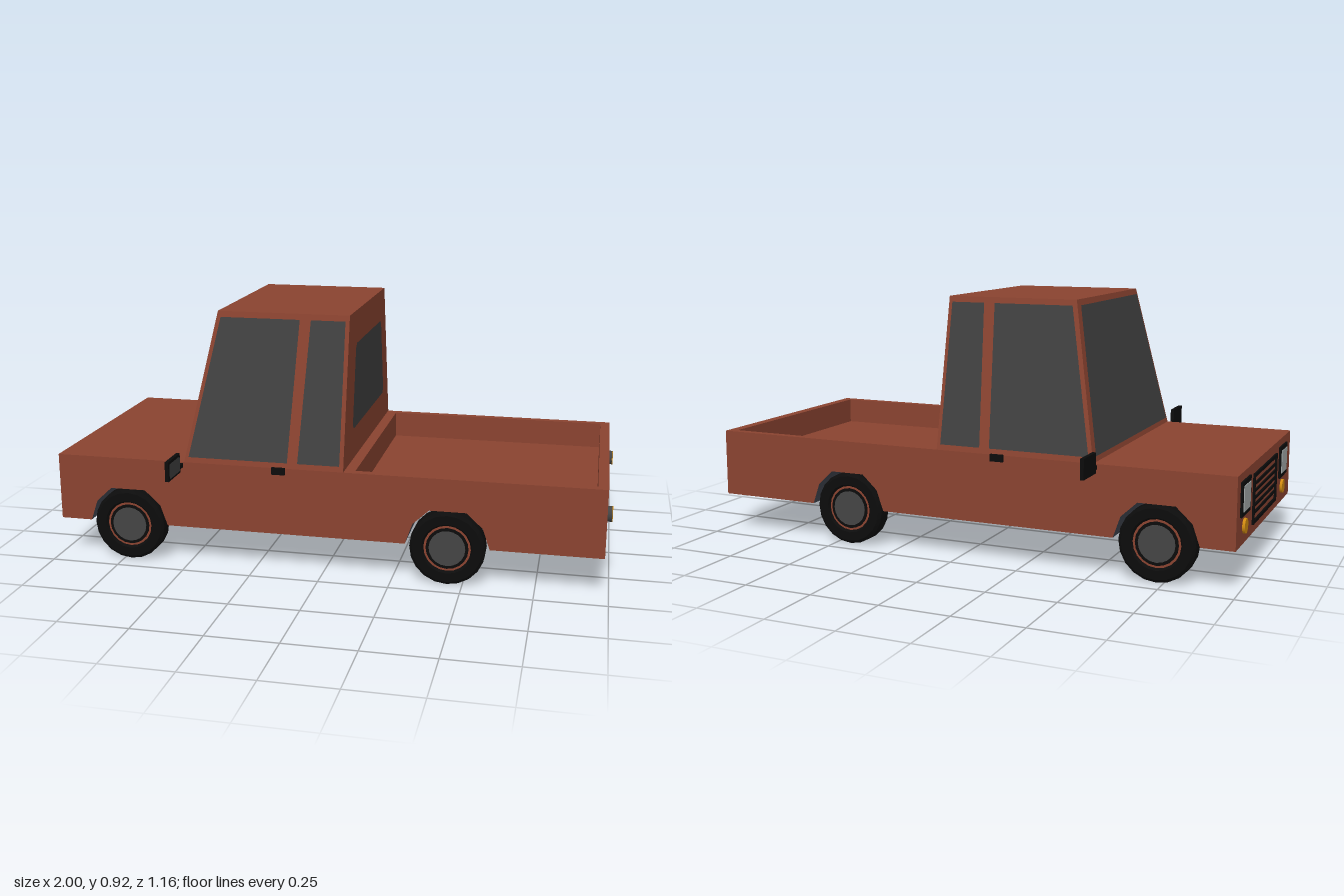
import * as THREE from 'three';
import { toCreasedNormals } from 'three/addons/utils/BufferGeometryUtils.js';

const mat = (name, color, side = THREE.FrontSide) => {
  const m = new THREE.MeshStandardMaterial({ color, side });
  m.name = name;
  return m;
};

export function createModel() {
  const paint = mat('rust paint', 0x8a4330);
  const glass = mat('dark glass', 0x404040, THREE.DoubleSide);
  const black = mat('black rubber', 0x0c0c0c);
  const under = mat('underside grey', 0x454a55);
  const hubGrey = mat('hub grey', 0x444444);
  const amber = mat('amber lamp', 0xd08a10);
  const lampGlass = mat('headlight glass', 0xa0a6a6);

  const truck = new THREE.Group();
  truck.name = 'pickupTruck';
  const add = (name, geometry, material, x = 0, y = 0, z = 0, parent = truck) => {
    const mesh = new THREE.Mesh(geometry, material);
    mesh.name = name;
    mesh.position.set(x, y, z);
    parent.add(mesh);
    return mesh;
  };
  const box = (name, material, [x0, x1], [y0, y1], [z0, z1]) =>
    add(name, new THREE.BoxGeometry(x1 - x0, y1 - y0, z1 - z0), material,
      (x0 + x1) / 2, (y0 + y1) / 2, (z0 + z1) / 2);
  const shapeOf = (pts) => new THREE.Shape(pts.map(([x, y]) => new THREE.Vector2(x, y)));
  // Thin convex face through the given corners
  const panel = (name, corners, material) => {
    const g = new THREE.BufferGeometry();
    g.setAttribute('position', new THREE.Float32BufferAttribute(corners.flat(), 3));
    const index = [];
    for (let i = 1; i < corners.length - 1; i++) index.push(0, i, i + 1);
    g.setIndex(index);
    g.computeVertexNormals();
    return add(name, g, material);
  };

  const X0 = -0.985, X1 = 0.977, Z0 = -0.446, Z1 = 0.43, ZC = -0.008;
  const BOTTOM = 0.14, FLOOR = 0.285, DECK = 0.385;
  const axles = [-0.725, 0.445];

  // Lower body: side profile with wheel arches running right across
  const arch = [[-0.148, 0.14], [-0.122, 0.215], [-0.065, 0.268],
    [0.065, 0.268], [0.122, 0.215], [0.148, 0.14]];
  const profile = [[X0, BOTTOM]];
  for (const a of axles) for (const [x, y] of arch) profile.push([a + x, y]);
  profile.push([X1, BOTTOM], [X1, FLOOR], [X0, FLOOR]);
  const lower = new THREE.ExtrudeGeometry(shapeOf(profile), { depth: Z1 - Z0, bevelEnabled: false });
  add('lowerBody', toCreasedNormals(lower, 1.0), [paint, under], 0, 0, Z0);
  box('frontPanel', paint, [X0 - 0.004, X0], [BOTTOM, DECK], [Z0, Z1]);
  box('tailgate', paint, [X1, X1 + 0.004], [BOTTOM, DECK], [Z0, Z1]);
  box('bedFloor', paint, [0.1, 0.96], [FLOOR - 0.002, FLOOR + 0.002], [Z0 + 0.01, Z1 - 0.01]);

  // Upper body with the open load bed
  const plan = shapeOf([[X0, -Z1], [X1, -Z1], [X1, -Z0], [X0, -Z0]]);
  plan.holes.push(new THREE.Path([[0.115, -0.4], [0.115, 0.418], [0.945, 0.418], [0.945, -0.4]]
    .map(([x, y]) => new THREE.Vector2(x, y))));
  const upper = new THREE.ExtrudeGeometry(plan, { depth: DECK - FLOOR, bevelEnabled: false });
  upper.rotateX(-Math.PI / 2);
  add('upperBody', upper, paint, 0, FLOOR, 0);

  // Tapered cab
  const ROOF = 0.917;
  const rise = (y) => (y - DECK) / (ROOF - DECK);
  const halfWidth = (y) => 0.438 - 0.113 * rise(y);
  const frontX = (y) => -0.505 + 0.105 * rise(y);
  const cab = new THREE.BoxGeometry(1, 1, 1);
  const p = cab.attributes.position;
  for (let i = 0; i < p.count; i++) {
    const y = p.getY(i) > 0 ? ROOF : DECK;
    p.setXYZ(i, p.getX(i) < 0 ? frontX(y) : 0.077, y, ZC + Math.sign(p.getZ(i)) * halfWidth(y));
  }
  cab.computeVertexNormals();
  add('cab', cab, paint);

  // Windows
  const lo = 0.405, hi = 0.897;
  const shield = [[lo, -1], [lo, 1], [hi, 1], [hi, -1]]
    .map(([y, s]) => [frontX(y) - 0.005, y, ZC + s * (halfWidth(y) - 0.022)]);
  panel('windshield', shield, glass);
  const sidePanes = {
    doorWindow: [[-0.488, lo], [-0.125, lo], [-0.1, hi], [-0.388, hi]],
    quarterWindow: [[-0.088, lo], [0.063, lo], [0.063, hi], [-0.06, hi]],
  };
  for (const s of [1, -1]) {
    for (const [name, pts] of Object.entries(sidePanes)) {
      const corners = pts.map(([x, y]) => [x, y, ZC + s * (halfWidth(y) + 0.004)]);
      panel(name, s > 0 ? corners : corners.reverse(), glass);
    }
  }
  const rear = [[0.275, 0.5], [0.293, 0.515], [0.24, 0.785], [0.222, 0.802]];
  const rearCorners = [...rear.map(([z, y]) => [z, y]), ...rear.map(([z, y]) => [-z, y]).reverse()];
  panel('rearWindow', rearCorners.map(([z, y]) => [0.081, y, ZC - z]), glass);

  // Wheels: lathed tyre, painted ring and hub
  const tyreProfile = [[0.083, -0.026], [0.09, -0.035], [0.122, -0.035], [0.133, -0.025],
    [0.133, 0.025], [0.122, 0.035], [0.09, 0.035], [0.083, 0.026]];
  const tyre = toCreasedNormals(new THREE.LatheGeometry(
    tyreProfile.map(([r, h]) => new THREE.Vector2(r, h)), 20), 0.6);
  const ring = new THREE.CylinderGeometry(0.084, 0.084, 0.052, 20);
  const hubRim = new THREE.CylinderGeometry(0.075, 0.075, 0.056, 20);
  const hub = new THREE.CylinderGeometry(0.064, 0.064, 0.06, 20);
  for (const x of axles) {
    for (const z of [0.4, -0.406]) {
      const wheel = new THREE.Group();
      wheel.name = 'wheel';
      wheel.position.set(x, 0.133, z);
      wheel.rotation.x = Math.PI / 2;
      add('tyre', tyre, black, 0, 0, 0, wheel);
      add('rimRing', ring, paint, 0, 0, 0, wheel);
      add('hubSurround', hubRim, black, 0, 0, 0, wheel);
      add('hub', hub, hubGrey, 0, 0, 0, wheel);
      truck.add(wheel);
    }
  }

  // Mirrors and door handles on both sides
  const span = (a, b, s) => (s > 0 ? [a, b] : [-b, -a]);
  for (const s of [1, -1]) {
    box('mirrorHousing', black, [-0.521, -0.508], [0.357, 0.428], span(0.463, 0.579, s));
    box('mirrorArm', black, [-0.519, -0.509], [0.367, 0.381], span(0.425, 0.465, s));
    const mirror = [[0.046, 0.027], [0.052, 0.02], [0.052, -0.02], [0.046, -0.027],
      [-0.046, -0.027], [-0.052, -0.02], [-0.052, 0.02], [-0.046, 0.027]];
    panel('mirrorGlass', mirror.map(([z, y]) => [-0.506, 0.392 + y, s * 0.521 + z]).reverse(), glass);
    const side = s > 0 ? Z1 : Z0;
    box('doorHandle', black, [-0.18, -0.132], [0.363, 0.388], [side - 0.009, side + 0.009]);
  }

  // Lamps, front and rear
  const LC = -0.027;
  const round = (name, r, depth, material, x, y, z) => {
    add(name, new THREE.CylinderGeometry(r, r, depth, 16), material, x, y, z).rotation.z = Math.PI / 2;
  };
  for (const s of [1, -1]) {
    const z = LC + s * 0.31;
    box('headlightFrame', black, [-0.996, -0.985], [0.24, 0.357], [z - 0.063, z + 0.063]);
    box('headlight', lampGlass, [-0.999, -0.99], [0.256, 0.341], [z - 0.046, z + 0.046]);
    round('frontIndicator', 0.026, 0.012, amber, -0.992, 0.2, z);
    round('tailLampHousing', 0.027, 0.018, hubGrey, 0.989, 0.262, LC + s * 0.341);
    round('tailLamp', 0.027, 0.004, amber, 0.998, 0.262, LC + s * 0.341);
  }

  // Grille: black frame and slats over painted body
  const gz = [LC - 0.19, LC + 0.19], gx = [-0.996, -0.985];
  box('grilleTop', black, gx, [0.335, 0.347], gz);
  box('grilleBottom', black, gx, [0.173, 0.185], gz);
  box('grilleSide', black, gx, [0.173, 0.347], [gz[0], gz[0] + 0.012]);
  box('grilleSide', black, gx, [0.173, 0.347], [gz[1] - 0.012, gz[1]]);
  for (let i = 0; i < 5; i++) {
    const y = 0.21 + i * 0.025;
    box('grilleSlat', black, [-0.994, -0.985], [y - 0.005, y + 0.005], gz);
  }
  return truck;
}
